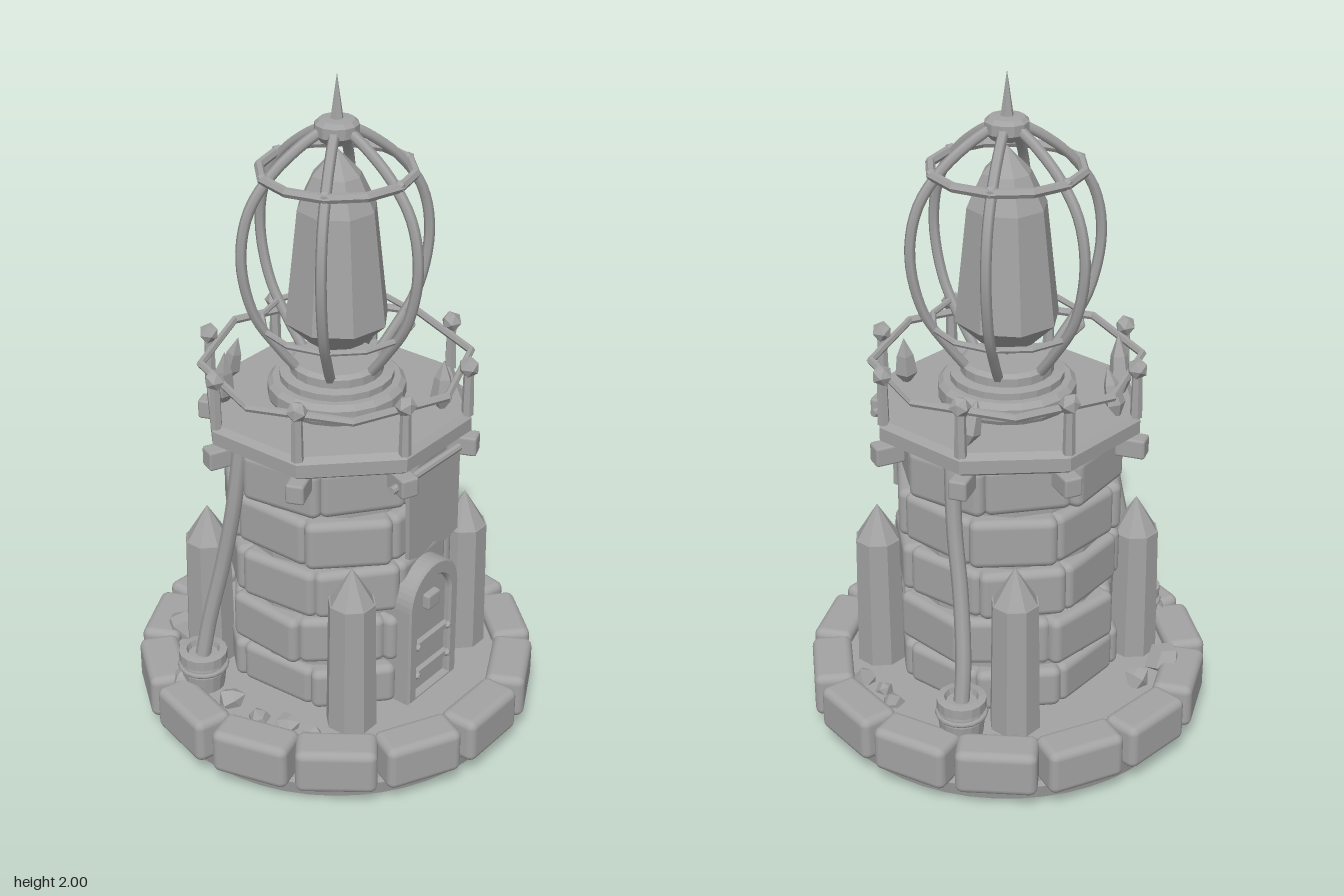
import * as THREE from 'three';
import { RoundedBoxGeometry } from 'three/addons/geometries/RoundedBoxGeometry.js';

export function createModel() {
  const model = new THREE.Group();
  const stone = new THREE.MeshStandardMaterial({ color: 0xa3a3a3 });
  stone.name = 'grey stone';

  // Small helpers
  const facet = (g) => {
    const f = g.index ? g.toNonIndexed() : g;
    f.computeVertexNormals();
    return f;
  };
  const add = (name, geo, x = 0, y = 0, z = 0, parent = model) => {
    const m = new THREE.Mesh(geo, stone);
    m.name = name;
    m.position.set(x, y, z);
    parent.add(m);
    return m;
  };
  const cyl = (rt, rb, h, n = 8) => facet(new THREE.CylinderGeometry(rt, rb, h, n));
  const ring = (name, count, start, build) => {
    const g = new THREE.Group();
    g.name = name;
    for (let i = 0; i < count; i++) {
      const arm = new THREE.Group();
      arm.name = name + 'Part';
      arm.rotation.y = start + (i * Math.PI * 2) / count;
      build(arm, i);
      g.add(arm);
    }
    model.add(g);
    return g;
  };
  const lathe = (pts, n) =>
    facet(new THREE.LatheGeometry(pts.map((p) => new THREE.Vector2(p[0], p[1])), n));
  const tube = (pts, r, n = 20, sides = 6) =>
    new THREE.TubeGeometry(new THREE.CatmullRomCurve3(pts.map((p) => new THREE.Vector3(...p))), n, r, sides);

  // Round base with a kerb of fourteen stones
  add('baseDisc', new THREE.CylinderGeometry(0.555, 0.545, 0.045, 48), 0, 0.0375, 0);
  add('courtyardFloor', new THREE.CylinderGeometry(0.52, 0.53, 0.11, 48), 0, 0.11, 0);
  const kerbGeo = new RoundedBoxGeometry(0.235, 0.14, 0.12, 3, 0.024);
  ring('kerbStones', 14, 0, (arm, i) => {
    const m = add('kerbStone', kerbGeo, 0, 0.13, 0.536, arm);
    m.rotation.y = 0.05 * Math.sin(i * 2.4);
  });
  ring('baseStuds', 5, 0.4, (arm) => add('baseStud', cyl(0.008, 0.008, 0.02), 0, 0.01, 0.46, arm));

  // Tower of brick courses around a plain core
  add('towerCore', cyl(0.29, 0.3, 0.82, 16), 0, 0.57, 0);
  const turns = [0.05, -0.06, 0.09, 0, 0.14];
  turns.forEach((turn, row) => {
    const h = row ? 0.152 : 0.13;
    const brick = new RoundedBoxGeometry(0.25, h, 0.12, 3, 0.024);
    ring('brickCourse', 8, turn, (arm, i) => {
      add('brick', brick, 0, (row ? 0.217 : 0.228) + row * 0.168, 0.257 + 0.01 * Math.sin(i * 3 + row * 2), arm);
    });
  });

  // Four corner buttresses with pointed caps
  ring('buttresses', 4, Math.PI / 4, (arm) => {
    add('buttressShaft', cyl(0.07, 0.076, 0.42), 0, 0.37, 0.385, arm).rotation.y = Math.PI / 8;
    add('buttressCap', cyl(0, 0.066, 0.11), 0, 0.635, 0.385, arm).rotation.y = Math.PI / 8;
  });

  // Arched doorway
  const arch = (w, bottom, spring) => {
    const s = new THREE.Shape();
    s.moveTo(-w, bottom);
    s.lineTo(w, bottom);
    s.lineTo(w, spring);
    s.absarc(0, spring, w, 0, Math.PI, false);
    s.lineTo(-w, bottom);
    return s;
  };
  const extrude = (shape, depth, bevel = 0.006) =>
    new THREE.ExtrudeGeometry(shape, {
      depth, curveSegments: 10, bevelEnabled: bevel > 0, bevelSize: bevel, bevelThickness: bevel, bevelSegments: 1,
    });
  const frame = arch(0.112, 0.17, 0.49);
  frame.holes.push(arch(0.085, 0.175, 0.48));
  add('doorFrame', extrude(frame, 0.11), 0, 0, 0.25);
  add('door', extrude(arch(0.09, 0.17, 0.48), 0.08, 0), 0, 0, 0.265);
  for (const y of [0.25, 0.35]) {
    add('doorStrap', new THREE.BoxGeometry(0.18, 0.018, 0.02), 0, y, 0.352);
    for (const x of [-0.075, 0.075]) add('strapRivet', new THREE.IcosahedronGeometry(0.013), x, y, 0.362);
  }
  add('doorHatch', new RoundedBoxGeometry(0.06, 0.05, 0.03, 1, 0.008), 0, 0.48, 0.352);

  // Hanging banner over the door
  const cloth = new THREE.Shape();
  [[-0.12, 0.93], [-0.115, 0.67], [-0.06, 0.655], [0, 0.675], [0.06, 0.65], [0.12, 0.665], [0.12, 0.93]]
    .forEach((p, i) => (i ? cloth.lineTo(...p) : cloth.moveTo(...p)));
  add('banner', extrude(cloth, 0.014, 0), 0, 0, 0.34);
  add('bannerRod', cyl(0.012, 0.012, 0.4), 0, 0.935, 0.35).rotation.z = Math.PI / 2;

  // Eight sided gallery with brackets, posts and rail
  const deck = add('galleryDeck', lathe([[0, 0.96], [0.375, 0.965], [0.398, 0.98], [0.398, 1.02], [0.38, 1.037], [0, 1.037]], 8));
  deck.rotation.y = Math.PI / 8;
  const bracket = new RoundedBoxGeometry(0.055, 0.06, 0.09, 1, 0.008);
  ring('galleryPosts', 8, Math.PI / 8, (arm) => {
    add('bracket', bracket, 0, 0.938, 0.375, arm);
    add('post', cyl(0.015, 0.018, 0.15, 6), 0, 1.105, 0.385, arm);
    add('postKnob', facet(new THREE.IcosahedronGeometry(0.031)), 0, 1.18, 0.385, arm);
  });
  add('galleryRail', facet(new THREE.TorusGeometry(0.388, 0.012, 6, 8)), 0, 1.157, 0).rotation.x = Math.PI / 2;

  // Lantern plinth
  add('lanternPlinth', lathe(
    [[0.19, 1.03], [0.2, 1.05], [0.2, 1.085], [0.185, 1.1], [0.165, 1.1], [0.165, 1.12],
      [0.135, 1.125], [0.135, 1.15], [0.12, 1.16], [0, 1.16]], 20));

  // Large lamp crystal
  add('lampCrystal', lathe([[0, 1.165], [0.08, 1.215], [0.152, 1.285], [0.115, 1.62], [0.07, 1.715], [0, 1.79]], 8))
    .rotation.y = 0.2;

  // Six bowed cage ribs, two hoops, cap and spike
  const rib = tube([[0, 1.15, 0.125], [0, 1.21, 0.17], [0, 1.33, 0.245], [0, 1.5, 0.28], [0, 1.64, 0.255],
    [0, 1.74, 0.185], [0, 1.81, 0.1], [0, 1.845, 0.04]], 0.0155, 28);
  ring('cageRibs', 6, 0, (arm) => {
    add('cageRib', rib, 0, 0, 0, arm);
    add('ribRivet', facet(new THREE.IcosahedronGeometry(0.018)), 0, 1.73, 0.212, arm);
  });
  [[1.727, 0.215, 0.014], [1.275, 0.215, 0.009]].forEach(([y, r, t]) => {
    add('cageHoop', facet(new THREE.TorusGeometry(r, t, 6, 12)), 0, y, 0).rotation.x = Math.PI / 2;
  });
  add('cageCap', lathe([[0, 1.8], [0.045, 1.81], [0.062, 1.83], [0.062, 1.86], [0.05, 1.872], [0, 1.875]], 12));
  add('spike', cyl(0, 0.02, 0.135, 6), 0, 1.932, 0);

  // Barrels with pipes running up to the gallery
  for (const s of [-1, 1]) {
    add('barrel', lathe([[0.06, 0.15], [0.068, 0.22], [0.062, 0.25], [0.072, 0.255], [0.072, 0.285],
      [0.05, 0.288], [0.045, 0.27], [0, 0.27]], 16), s * 0.405, 0, -0.185);
    add('barrelHoop', new THREE.TorusGeometry(0.069, 0.008, 6, 16), s * 0.405, 0.235, -0.185).rotation.x = Math.PI / 2;
    add('pipe', tube([[s * 0.405, 0.27, -0.185], [s * 0.385, 0.38, -0.175], [s * 0.355, 0.58, -0.14],
      [s * 0.34, 0.78, -0.105], [s * 0.325, 0.98, -0.085]], 0.023, 20, 8));
  }

  // Loose crystal shards: x, y, z, radius, height, lean x, lean z
  const shards = [
    [-0.43, 0.18, -0.05, 0.04, 0.09, 0.5, 0.7], [-0.45, 0.18, -0.22, 0.05, 0.12, -0.5, 0.5],
    [-0.44, 0.17, 0.06, 0.035, 0.08, 0.3, -0.5], [-0.41, 0.17, 0.15, 0.04, 0.08, 0.9, 0.3],
    [-0.4, 0.17, 0.23, 0.03, 0.07, 1.2, 0], [0.44, 0.17, 0.06, 0.035, 0.08, 0.4, 0.6],
    [0.41, 0.17, 0.12, 0.03, 0.07, -0.6, 0.3], [0.41, 0.17, 0.21, 0.04, 0.08, 0.7, -0.8],
    [-0.25, 0.18, -0.42, 0.06, 0.12, -0.8, 0.6], [-0.12, 0.18, -0.41, 0.04, 0.08, 0.2, -0.9],
    [-0.24, 1.11, -0.22, 0.035, 0.2, 0, -0.2], [-0.11, 1.1, -0.3, 0.03, 0.16, 0.3, 0],
    [0.13, 1.1, 0.28, 0.034, 0.16, 0.2, -0.25], [0.29, 1.1, -0.13, 0.03, 0.14, 0.1, -0.3],
  ];
  for (const [x, y, z, r, h, lx, lz] of shards) {
    const g = lathe([[0, -h / 2], [r, -h / 5], [r * 0.75, h / 6], [0, h / 2]], 5);
    add('shard', g, x, y, z).rotation.set(lx, x * 9, lz);
  }
  return model;
}
